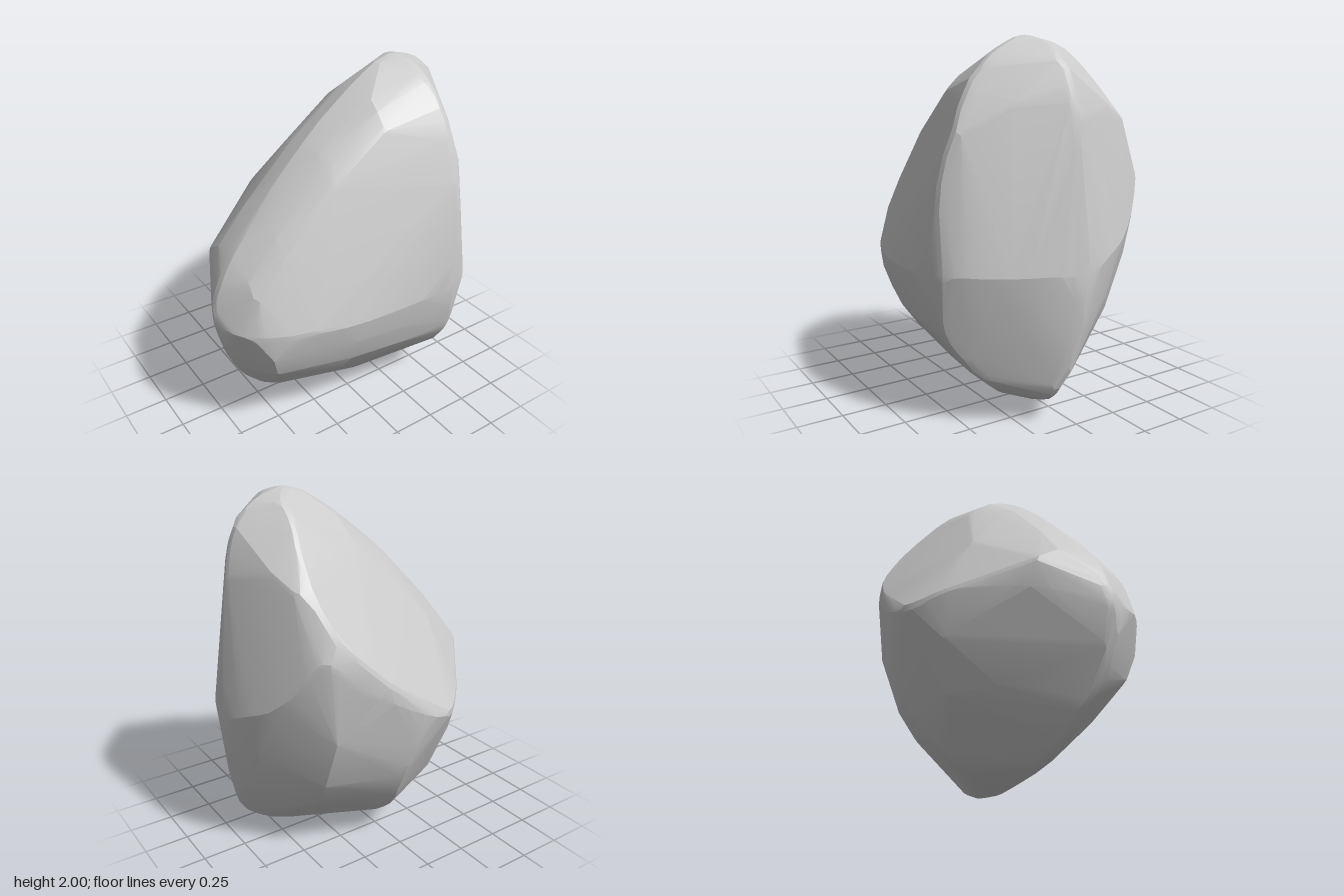
import * as THREE from 'three';
import { ConvexGeometry } from 'three/addons/geometries/ConvexGeometry.js';
import { toCreasedNormals } from 'three/addons/utils/BufferGeometryUtils.js';

const EDGE_RADIUS = 0.06;
const LOOP_STEPS = 64;

// Outline across the width: [x, y, z]
const sideRidge = [
  [0.34, 2, 0.09], [0.55, 1.95, 0.07], [0.67, 1.84, 0.06], [0.75, 1.62, 0.03], [0.79, 1.25, 0],
  [0.83, 0.83, 0], [0.8, 0.5, 0.04], [0.7, 0.18, 0.1], [0.6, 0.1, 0.08], [0.4, 0.03, 0.04],
  [0.15, 0, 0.05], [-0.22, 0.04, 0.07], [-0.42, 0.12, 0.09], [-0.6, 0.26, 0.14], [-0.74, 0.47, 0.2],
  [-0.82, 0.68, 0.22], [-0.835, 0.82, 0.2], [-0.8, 0.95, 0.18], [-0.7, 1.12, 0.17],
  [-0.5, 1.35, 0.14], [-0.2, 1.65, 0.12], [0.1, 1.88, 0.1],
];

// Outline from front to back, over the top and under the base
const frontBackRidge = [
  [0.38, 2, 0.09], [0.42, 1.96, 0.23], [0.44, 1.84, 0.39], [0.45, 1.63, 0.52], [0.45, 1.25, 0.63],
  [0.4, 0.82, 0.67], [0.45, 0.57, 0.63], [0.48, 0.4, 0.55], [0.52, 0.23, 0.4], [0.35, 0.07, 0.2],
  [0.15, 0, 0.04], [0.02, 0.03, -0.12], [-0.02, 0.12, -0.3], [0.02, 0.27, -0.45], [0.05, 0.55, -0.6],
  [0, 0.82, -0.665], [0.1, 1.02, -0.66], [0.38, 1.25, -0.61], [0.5, 1.5, -0.48],
  [0.5, 1.75, -0.29], [0.46, 1.93, -0.1],
];

// Widest outline around the middle
const girdle = [
  [-0.18, 0.83, -0.66], [0.12, 0.95, -0.665], [0.38, 1.11, -0.62], [0.53, 1.25, -0.56],
  [0.68, 1, -0.38], [0.78, 0.9, -0.18], [0.83, 0.83, 0], [0.8, 0.83, 0.15], [0.67, 0.83, 0.42],
  [0.55, 0.83, 0.6], [0.47, 0.82, 0.66], [0.3, 0.8, 0.67], [-0.2, 0.78, 0.62], [-0.6, 0.77, 0.5],
  [-0.75, 0.77, 0.4], [-0.83, 0.8, 0.2], [-0.78, 0.82, 0.08], [-0.63, 0.86, -0.19],
  [-0.48, 0.91, -0.38], [-0.35, 0.88, -0.53],
];

// Sloping upper ridge [x, y], rounded across its depth by [drop, z]
const slope = [[-0.68, 1.14], [-0.5, 1.35], [-0.2, 1.65], [0.1, 1.88]];
const slopeSection = [[0.16, 0.4], [0.09, 0.33], [0.04, 0.25], [0.03, 0], [0.12, -0.13]];

// Swellings of the broad faces between the outlines
const faceBulges = [
  // lower front
  [-0.63, 0.62, 0.47], [-0.2, 0.64, 0.6], [0.1, 0.64, 0.635],
  [-0.6, 0.48, 0.42], [-0.2, 0.5, 0.55], [0.1, 0.5, 0.59], [-0.5, 0.27, 0.27],
  [-0.2, 0.35, 0.44], [0, 0.19, 0.33], [0.25, 0.32, 0.47],
  // lower back
  [-0.42, 0.42, -0.25], [-0.25, 0.38, -0.42], [-0.35, 0.25, -0.13], [-0.35, 0.65, -0.48],
  [0.46, 0.48, -0.42], [0.44, 0.33, -0.32], [0.52, 0.31, -0.2], [0.46, 0.8, -0.55], [0.73, 0.65, -0.19],
  // upper back and upper right
  [-0.3, 1.27, -0.32], [0.1, 1.71, -0.18], [0.5, 1.95, -0.03],
  [0.58, 1.58, -0.4], [0.64, 1.65, -0.25], [0.69, 1.68, -0.08], [0.6, 1.66, 0.3],
];

const toVectors = (list) => list.map((p) => new THREE.Vector3(...p));

const smoothLoop = (list) =>
  new THREE.CatmullRomCurve3(toVectors(list), true, 'centripetal').getPoints(LOOP_STEPS);

// Average outward direction of the hull at each of its corners
function hullCorners(points) {
  const pos = new ConvexGeometry(points).attributes.position;
  const corners = new Map();
  const tri = new THREE.Triangle();
  const normal = new THREE.Vector3();
  for (let i = 0; i < pos.count; i += 3) {
    tri.setFromAttributeAndIndices(pos, i, i + 1, i + 2);
    tri.getNormal(normal);
    for (const p of [tri.a, tri.b, tri.c]) {
      const key = p.toArray().map((v) => v.toFixed(4)).join();
      if (!corners.has(key)) corners.set(key, { point: p.clone(), normal: new THREE.Vector3() });
      corners.get(key).normal.add(normal);
    }
  }
  return [...corners.values()];
}

// Hull with its corners and edges rounded by a small faceted ball
function roundedHull(points, radius) {
  const ball = new THREE.IcosahedronGeometry(radius, 1).attributes.position;
  const cloud = [];
  for (const { point, normal } of hullCorners(points)) {
    const centre = point.addScaledVector(normal.normalize(), -radius);
    for (let i = 0; i < ball.count; i++) {
      const offset = new THREE.Vector3().fromBufferAttribute(ball, i);
      // Only the outward cap of the ball can reach the surface
      if (offset.dot(normal) > radius * 0.3) cloud.push(offset.add(centre));
    }
  }
  return new ConvexGeometry(cloud);
}

export function createModel() {
  const ridgeBands = slope.flatMap(([x, y]) => slopeSection.map(([drop, z]) => [x, y - drop, z]));
  const points = [
    ...[sideRidge, frontBackRidge, girdle].flatMap(smoothLoop),
    ...toVectors([...ridgeBands, ...faceBulges]),
  ];
  const geometry = roundedHull(points, EDGE_RADIUS);

  // Stand on the ground
  geometry.computeBoundingBox();
  geometry.translate(0, -geometry.boundingBox.min.y, 0);

  const boulder = new THREE.Mesh(
    toCreasedNormals(geometry, 0.2),
    new THREE.MeshStandardMaterial({ color: 0xcccccc }),
  );
  boulder.name = 'boulder';

  const group = new THREE.Group();
  group.name = 'rock';
  group.add(boulder);
  return group;
}
